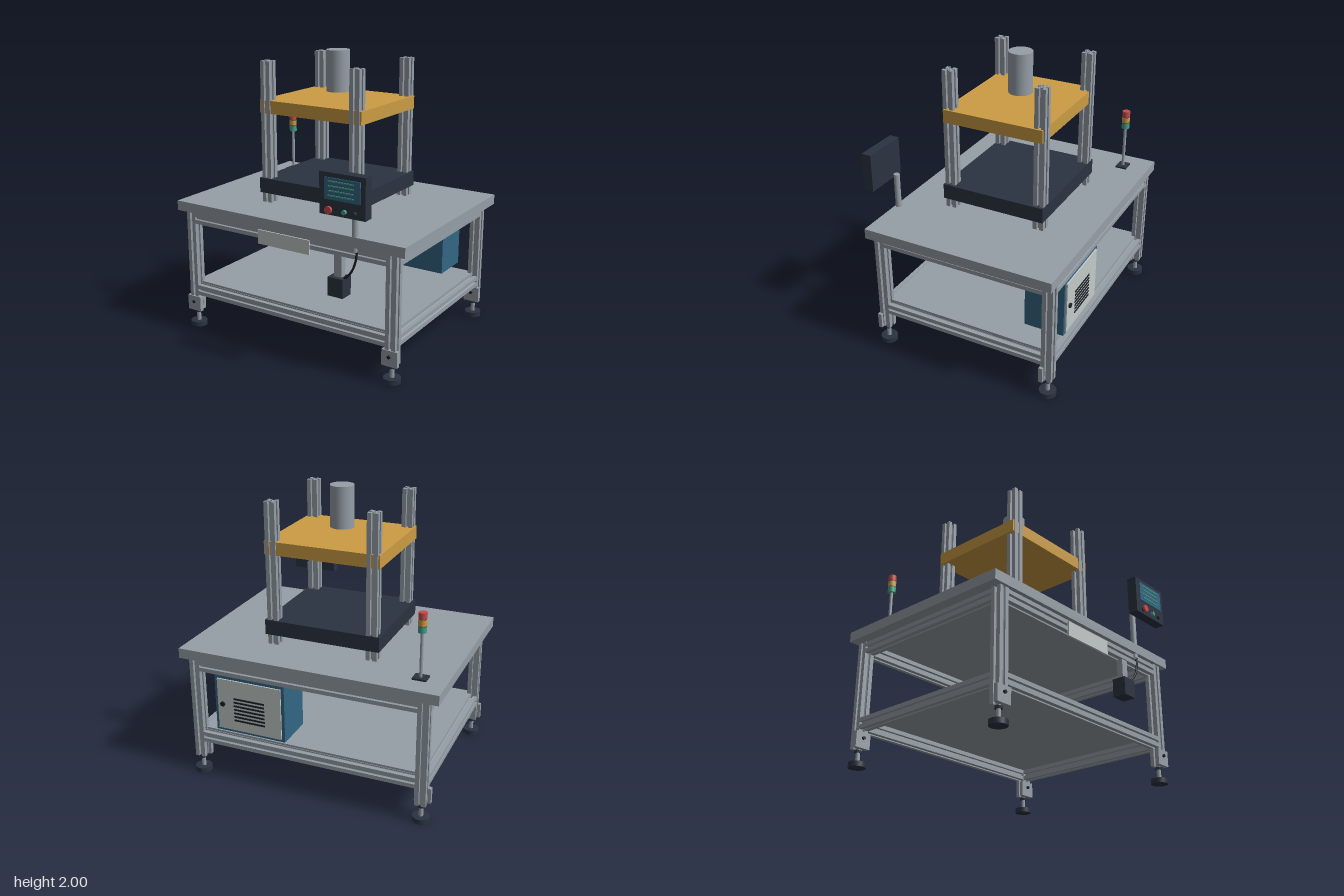
import * as THREE from 'three';

const mat = (name, color) => {
  const m = new THREE.MeshStandardMaterial({ color });
  m.name = name;
  return m;
};

export function createModel() {
  const metal = mat('brushedMetal', 0x969fa7);
  const dark = mat('darkSlate', 0x2b3341);
  const black = mat('black', 0x1c2026);
  const amber = mat('amber', 0xcc9c44);
  const blue = mat('cabinetBlue', 0x336685);
  const light = mat('lightGrey', 0xc3cac8);
  const red = mat('red', 0xc64b4b);
  const green = mat('green', 0x45a088);

  const model = new THREE.Group();
  model.name = 'pressWorkbench';

  const add = (name, geo, material, x = 0, y = 0, z = 0, parent = model) => {
    const mesh = new THREE.Mesh(geo, material);
    mesh.name = name;
    mesh.position.set(x, y, z);
    parent.add(mesh);
    return mesh;
  };
  // box given by its min and max on each axis
  const box = (name, m, [x0, x1], [y0, y1], [z0, z1], parent) =>
    add(name, new THREE.BoxGeometry(x1 - x0, y1 - y0, z1 - z0), m,
      (x0 + x1) / 2, (y0 + y1) / 2, (z0 + z1) / 2, parent);
  // upright cylinder given by its bottom and top
  const rod = (name, m, r, x, y0, y1, z, parent, seg = 24) =>
    add(name, new THREE.CylinderGeometry(r, r, y1 - y0, seg), m, x, (y0 + y1) / 2, z, parent);
  // short cylinder facing along z
  const knob = (name, m, r, x, y, z0, z1, parent) => {
    const k = add(name, new THREE.CylinderGeometry(r, r, z1 - z0, 24), m, x, y, (z0 + z1) / 2, parent);
    k.rotation.x = Math.PI / 2;
    return k;
  };

  // T-slot profile: one side repeated around four quarter turns
  const W = 0.0375;
  const side = [[-W, -W], [-0.009, -W], [-0.009, -0.029], [-0.018, -0.029],
    [-0.009, -0.016], [0.009, -0.016], [0.018, -0.029], [0.009, -0.029], [0.009, -W]];
  const points = [];
  for (let q = 0; q < 4; q++) {
    const c = [1, 0, -1, 0][q], s = [0, 1, 0, -1][q];
    for (const [x, y] of side) points.push(new THREE.Vector2(x * c - y * s, x * s + y * c));
  }
  const slotShape = new THREE.Shape(points);
  slotShape.holes.push(new THREE.Path().absarc(0, 0, 0.008, 0, Math.PI * 2, true));
  const profile = (name, axis, length, x, y, z) => {
    const geo = new THREE.ExtrudeGeometry(slotShape, { depth: length, bevelEnabled: false, curveSegments: 6 });
    geo.translate(0, 0, -length / 2);
    if (axis === 'x') geo.rotateY(Math.PI / 2);
    if (axis === 'y') geo.rotateX(Math.PI / 2);
    return add(name, geo, metal, x, y, z);
  };

  // bench frame
  const LX = 0.81, ZF = 0.543, ZB = -0.703, ZC = -0.08;
  for (const z of [ZF, ZB]) {
    for (const x of [-LX, LX]) {
      profile('leg', 'y', 0.75, x, 0.5, z);
      const foot = new THREE.Group();
      foot.name = 'levellingFoot';
      foot.position.set(x, 0, z);
      model.add(foot);
      rod('footPad', dark, 0.058, 0, 0, 0.035, 0, foot, 32);
      rod('footStud', metal, 0.015, 0, 0.035, 0.13, 0, foot);
      rod('footNut', dark, 0.025, 0, 0.1, 0.118, 0, foot, 6);
      box('footBracket', metal, [-0.057, 0.057], [0.125, 0.235], [0.015, 0.044], foot);
      knob('bracketBolt', black, 0.011, 0, 0.193, 0.044, 0.056, foot);
    }
    for (const y of [0.83, 0.288]) profile('longRail', 'x', 1.545, 0, y, z);
  }
  for (const x of [-LX, LX])
    for (const y of [0.83, 0.288]) profile('sideRail', 'z', 1.171, x, y, ZC);
  box('shelf', metal, [-0.8, 0.8], [0.325, 0.34], [-0.69, 0.53]);
  box('tabletop', metal, [-0.913, 0.913], [0.875, 0.945], [-0.757, 0.6]);
  box('drawerFront', light, [-0.21, 0.205], [0.755, 0.855], [0.575, 0.59]);

  // press
  for (const x of [-0.355, 0.355])
    for (const z of [0.249, -0.412]) profile('pressPost', 'y', 0.99, x, 1.44, z);
  box('lowerPlaten', dark, [-0.41, 0.41], [1.013, 1.118], [-0.453, 0.293]);
  box('upperPlaten', amber, [-0.405, 0.405], [1.577, 1.667], [-0.44, 0.28]);
  rod('pressCylinder', metal, 0.082, 0, 1.715, 2, ZC, model, 40);

  // signal tower
  const tower = new THREE.Group();
  tower.name = 'signalTower';
  tower.position.set(-0.735, 0, -0.57);
  model.add(tower);
  box('towerBase', dark, [-0.047, 0.047], [0.945, 0.957], [-0.04, 0.04], tower);
  rod('towerPole', metal, 0.011, 0, 0.957, 1.258, 0, tower);
  [green, amber, red].forEach((m, i) => {
    const y = 1.258 + i * 0.046;
    rod('lamp', m, 0.028, 0, y, y + 0.041, 0, tower);
    if (i < 2) rod('lampRing', dark, 0.026, 0, y + 0.041, y + 0.046, 0, tower);
  });

  // operator panel
  const panel = new THREE.Group();
  panel.name = 'operatorPanel';
  model.add(panel);
  rod('panelPost', metal, 0.021, 0.547, 0.843, 1.19, 0.577, panel);
  box('panelHousing', dark, [0.382, 0.71], [1.11, 1.378], [0.66, 0.73], panel);
  box('screen', blue, [0.422, 0.676], [1.21, 1.348], [0.73, 0.737], panel);
  for (let i = 0; i < 4; i++) {
    const y = 1.236 + i * 0.03;
    box('screenLine', green, [0.45, 0.63], [y - 0.004, y + 0.004], [0.737, 0.742], panel);
  }
  knob('stopButtonCollar', dark, 0.018, 0.458, 1.146, 0.73, 0.742, panel);
  knob('stopButton', red, 0.025, 0.458, 1.146, 0.742, 0.757, panel);
  knob('startButton', green, 0.015, 0.565, 1.146, 0.73, 0.748, panel);
  knob('selectorButton', dark, 0.013, 0.638, 1.146, 0.73, 0.748, panel);

  // hanging junction box and its cable
  box('junctionStem', metal, [0.39, 0.446], [0.64, 0.793], [0.53, 0.575]);
  box('junctionBox', dark, [0.36, 0.476], [0.517, 0.645], [0.51, 0.608]);
  const path = new THREE.CatmullRomCurve3([
    [0.56, 0.86, 0.577], [0.557, 0.79, 0.582], [0.525, 0.705, 0.582], [0.46, 0.636, 0.57],
  ].map(p => new THREE.Vector3(...p)));
  add('cable', new THREE.TubeGeometry(path, 24, 0.008, 8), black);

  // electrical cabinet with its door on the back
  const cabinet = new THREE.Group();
  cabinet.name = 'electricalCabinet';
  model.add(cabinet);
  box('cabinetBody', blue, [0.142, 0.66], [0.377, 0.788], [-0.735, -0.455], cabinet);
  box('cabinetDoor', light, [0.165, 0.637], [0.397, 0.768], [-0.745, -0.735], cabinet);
  for (let i = 0; i < 7; i++) {
    const y = 0.475 + i * 0.027;
    box('ventSlot', black, [0.285, 0.515], [y - 0.006, y + 0.006], [-0.749, -0.745], cabinet);
  }
  knob('doorLock', black, 0.017, 0.598, 0.585, -0.757, -0.745, cabinet);

  return model;
}
